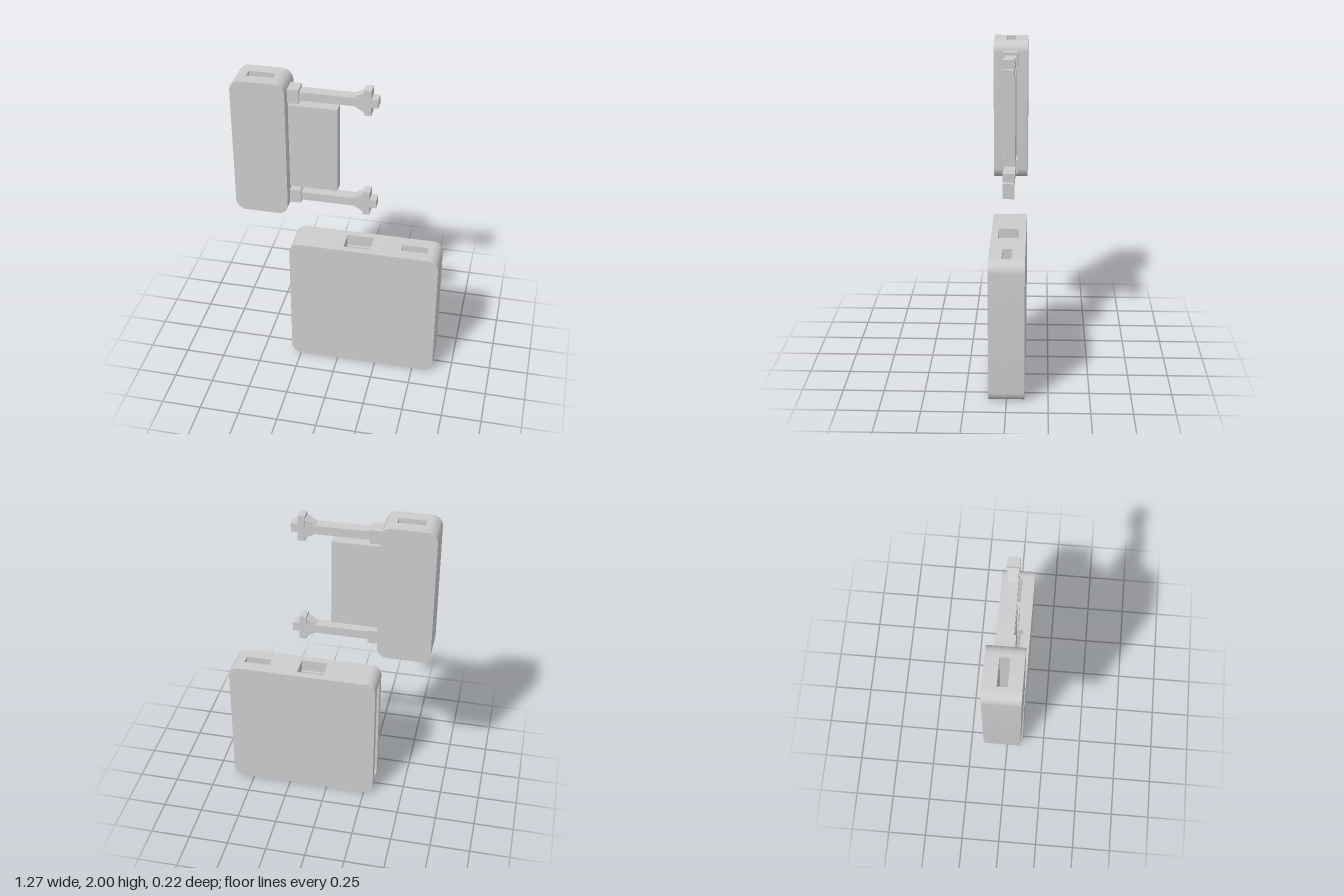
import * as THREE from 'three';
import { toCreasedNormals } from 'three/addons/utils/BufferGeometryUtils.js';

const material = new THREE.MeshStandardMaterial({ color: 0xcccccc });
const R = 0.065; // corner radius of both housings
const H = 0.89; // height of the socket housing
const ZO = 0.1075, ZW = 0.063, ZC = 0.048, ZS = 0.029; // half depths: outside, window, cavity, strap slot

// Closed outline from [x, y, radius] corners
function outline(points) {
  const shape = new THREE.Shape();
  const n = points.length;
  const toward = (a, b, d) => {
    const v = new THREE.Vector2(b[0] - a[0], b[1] - a[1]).normalize();
    return [a[0] + v.x * d, a[1] + v.y * d];
  };
  points.forEach((p, i) => {
    const r = p[2] || 0;
    const a = toward(p, points[(i + n - 1) % n], r);
    const b = toward(p, points[(i + 1) % n], r);
    if (i === 0) shape.moveTo(...a); else shape.lineTo(...a);
    if (r) {
      // cubic quarter circle
      const c1 = toward(p, a, r * 0.4477), c2 = toward(p, b, r * 0.4477);
      shape.bezierCurveTo(...c1, ...c2, ...b);
    }
  });
  shape.closePath();
  return shape;
}

const rect = (x0, x1, y0, y1, rl = 0, rr = 0) =>
  [[x0, y0, rl], [x1, y0, rr], [x1, y1, rr], [x0, y1, rl]];

// Slab of the given outlines between z0 and z1
function slab(group, name, outlines, z0, z1) {
  const geo = new THREE.ExtrudeGeometry(outlines.map(outline), { depth: z1 - z0, bevelEnabled: false, curveSegments: 10 });
  geo.translate(0, 0, z0);
  const mesh = new THREE.Mesh(toCreasedNormals(geo, 0.5), material);
  mesh.name = name;
  group.add(mesh);
}

function slabPair(group, name, outlines, z0, z1) {
  slab(group, name + 'Front', outlines, z0, z1);
  slab(group, name + 'Back', outlines, -z1, -z0);
}

function box(group, name, x0, x1, y0, y1, halfZ) {
  const mesh = new THREE.Mesh(new THREE.BoxGeometry(x1 - x0, y1 - y0, halfZ * 2), material);
  mesh.position.set((x0 + x1) / 2, (y0 + y1) / 2, 0);
  mesh.name = name;
  group.add(mesh);
}

// Socket: hollow housing, open on its -x side, with latch windows and a strap slot
function createSocket() {
  const g = new THREE.Group();
  g.name = 'socket';
  const x0 = -0.31, x1 = 0.633, w0 = 0.029, w1 = 0.198, end = 0.23;
  const lo = 0.075, hi = H - lo;
  slabPair(g, 'socketPlate', [rect(x0, x1, 0, H, R, R)], ZW, ZO);
  // window recesses
  slabPair(g, 'socketWindowLayer', [[
    [x0, 0, R], [w0, 0], [w0, lo], [w1, lo], [w1, 0], [x1, 0, R],
    [x1, H, R], [w1, H], [w1, hi], [w0, hi], [w0, H], [x0, H, R],
  ]], ZC, ZW);
  // rails above and below the cavity
  const rails = [
    [[x0, H, R], [x0, hi], [w0, hi], [w0, H]],
    [[x0, 0, R], [w0, 0], [w0, lo], [x0, lo]],
  ];
  const block = (x, r) => [
    [w1, 0], [x, 0, r], [x, H, r], [w1, H], [w1, hi], [end, hi], [end, lo], [w1, lo],
  ];
  slabPair(g, 'socketCavityLayer', [...rails, block(x1, R)], ZS, ZC);
  // middle layer split by the strap slot
  slab(g, 'socketCore', [...rails, block(0.388, 0), rect(0.551, x1, 0, H, 0, R)], -ZS, ZS);
  return g;
}

// Sprung arm with a barbed tip, centred on y = 0
function createArm(name) {
  const g = new THREE.Group();
  g.name = name;
  box(g, 'armRoot', -0.312, -0.242, -0.044, 0.044, ZC);
  box(g, 'armShaft', -0.25, 0.224, -0.027, 0.027, 0.035);
  box(g, 'armBarb', 0.141, 0.184, -0.08, 0.08, 0.036);

  // flare widening toward the barb
  const flare = new THREE.BoxGeometry(0.075, 1, 1);
  const p = flare.attributes.position;
  for (let i = 0; i < p.count; i++) {
    const wide = p.getX(i) > 0;
    p.setY(i, Math.sign(p.getY(i)) * (wide ? 0.063 : 0.024));
    p.setZ(i, Math.sign(p.getZ(i)) * (wide ? 0.034 : 0.026));
  }
  const geo = flare.toNonIndexed();
  geo.computeVertexNormals();
  const mesh = new THREE.Mesh(geo, material);
  mesh.position.x = 0.107;
  mesh.name = 'armFlare';
  g.add(mesh);
  return g;
}

// Plug: housing with a strap slot, guide tongue and two arms
function createPlug() {
  const g = new THREE.Group();
  g.name = 'plug';
  const x0 = -0.637, x1 = -0.31, y0 = 1.115, y1 = 2;
  slabPair(g, 'plugPlate', [rect(x0, x1, y0, y1, R, R)], ZS, ZO);
  slab(g, 'plugCore', [rect(x0, -0.555, y0, y1, R, 0), rect(-0.393, x1, y0, y1, 0, R)], -ZS, ZS);
  box(g, 'guideTongue', -0.312, -0.015, 1.28, 1.837, 0.036);
  for (const side of [-1, 1]) {
    const arm = createArm(side > 0 ? 'upperArm' : 'lowerArm');
    arm.position.y = 1.5575 + side * 0.344;
    g.add(arm);
  }
  return g;
}

export function createModel() {
  const model = new THREE.Group();
  model.name = 'sideReleaseBuckle';
  model.add(createSocket(), createPlug());
  return model;
}
